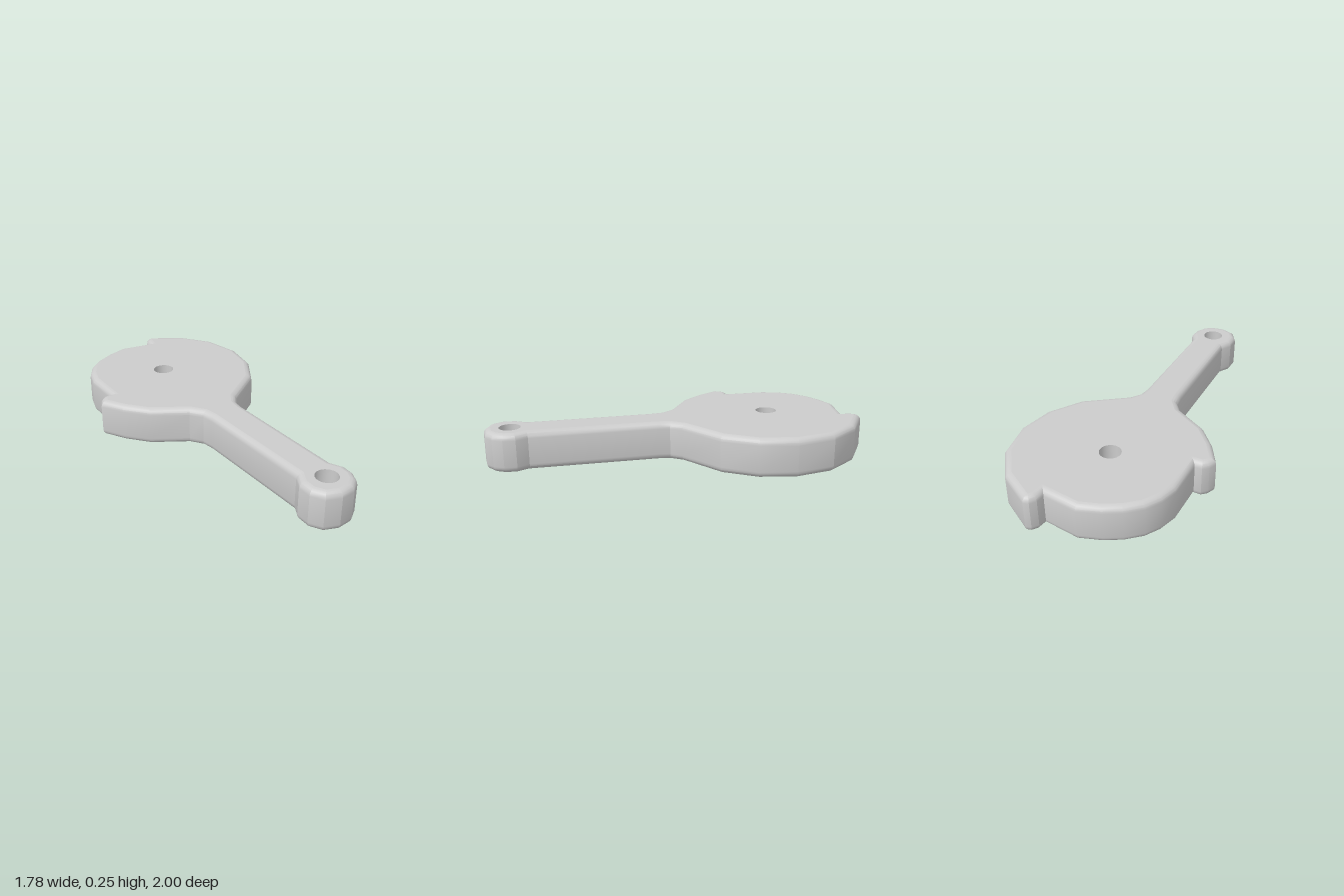
import * as THREE from 'three';
import { toCreasedNormals } from 'three/addons/utils/BufferGeometryUtils.js';

const HEIGHT = 0.245, BEVEL = 0.04, STEPS = 4, HOLE_RADIUS = 0.067, HOLE_SIDES = 24;
const HOLES = [['discHole', -0.385, -0.385], ['armHole', 0.73, 0.83]];

// Outline as [x, z], clockwise seen from above
const OUTLINE = [
  // raised rim, back and right
  [-0.6, -0.96], [-0.36, -1], [-0.13, -0.95], [0.07, -0.8], [0.19, -0.6], [0.23, -0.365],
  // fillet into the arm, then its rounded eye
  [0.16, -0.06], [0.17, 0.02], [0.21, 0.08], [0.75, 0.67],
  [0.825, 0.7], [0.873, 0.76], [0.89, 0.83], [0.873, 0.9], [0.812, 0.968], [0.725, 1],
  [0.642, 0.972], [0.587, 0.905], [0.57, 0.825],
  // fillet back to the rim, front hook
  [0.04, 0.255], [-0.02, 0.205], [-0.11, 0.185], [-0.355, 0.23], [-0.53, 0.205],
  [-0.68, 0.155], [-0.695, 0.105], [-0.69, 0.06], [-0.655, 0.03],
  // smaller disc edge between the hooks, back hook
  [-0.825, -0.16], [-0.875, -0.265], [-0.895, -0.37], [-0.88, -0.49], [-0.84, -0.6],
  [-0.77, -0.72], [-0.585, -0.84], [-0.615, -0.885], [-0.62, -0.93],
];

// Mitred inset of the outline
function inset(points, distance) {
  const inward = (a, b) => new THREE.Vector2(a[1] - b[1], b[0] - a[0]).normalize();
  return points.map((p, i) => {
    const n = points.length;
    const n1 = inward(points[(i + n - 1) % n], p), n2 = inward(p, points[(i + 1) % n]);
    const k = distance / (1 + n1.dot(n2));
    return [p[0] + (n1.x + n2.x) * k, p[1] + (n1.y + n2.y) * k];
  });
}

// Wall with rounded lower and upper edges, built from stacked rings
function wallGeometry() {
  const levels = [];
  for (let s = 0; s <= STEPS; s++) {
    const a = (s / STEPS) * Math.PI / 2;
    levels.push([BEVEL * (1 - Math.sin(a)), BEVEL * (1 - Math.cos(a))]);
  }
  levels.push(...levels.map(([d, y]) => [d, HEIGHT - y]).reverse());

  const n = OUTLINE.length, positions = [], index = [];
  levels.forEach(([d, y], k) => {
    inset(OUTLINE, d).forEach(([x, z], i) => {
      positions.push(x, y, z);
      if (k === 0) return;
      const j = (i + 1) % n, low = (k - 1) * n, up = k * n;
      index.push(low + i, up + i, low + j, low + j, up + i, up + j);
    });
  });
  const geometry = new THREE.BufferGeometry();
  geometry.setAttribute('position', new THREE.Float32BufferAttribute(positions, 3));
  geometry.setIndex(index);
  return toCreasedNormals(geometry, 0.42);
}

// Flat face with both holes; side is 1 for the top, -1 for the bottom
function faceGeometry(side) {
  const shape = new THREE.Shape(
    inset(OUTLINE, BEVEL).map(([x, z]) => new THREE.Vector2(x, -side * z)));
  for (const [, x, z] of HOLES) {
    shape.holes.push(new THREE.Path().absarc(x, -side * z, HOLE_RADIUS, 0, Math.PI * 2, true));
  }
  const geometry = new THREE.ShapeGeometry(shape, HOLE_SIDES / 2);
  return geometry.rotateX(-side * Math.PI / 2).translate(0, side > 0 ? HEIGHT : 0, 0);
}

export function createModel() {
  const group = new THREE.Group();
  group.name = 'camLever';
  const material = new THREE.MeshStandardMaterial({ color: 0xcccccc });
  const inner = new THREE.MeshStandardMaterial({ color: 0xcccccc, side: THREE.BackSide });
  const add = (name, geometry, mat = material) => {
    const mesh = new THREE.Mesh(geometry, mat);
    mesh.name = name;
    group.add(mesh);
    return mesh;
  };

  add('outerWall', wallGeometry());
  add('topFace', faceGeometry(1));
  add('bottomFace', faceGeometry(-1));

  // Bores through the disc and the arm eye
  for (const [name, x, z] of HOLES) {
    const bore = new THREE.CylinderGeometry(
      HOLE_RADIUS, HOLE_RADIUS, HEIGHT, HOLE_SIDES, 1, true);
    add(name, bore, inner).position.set(x, HEIGHT / 2, z);
  }
  return group;
}
